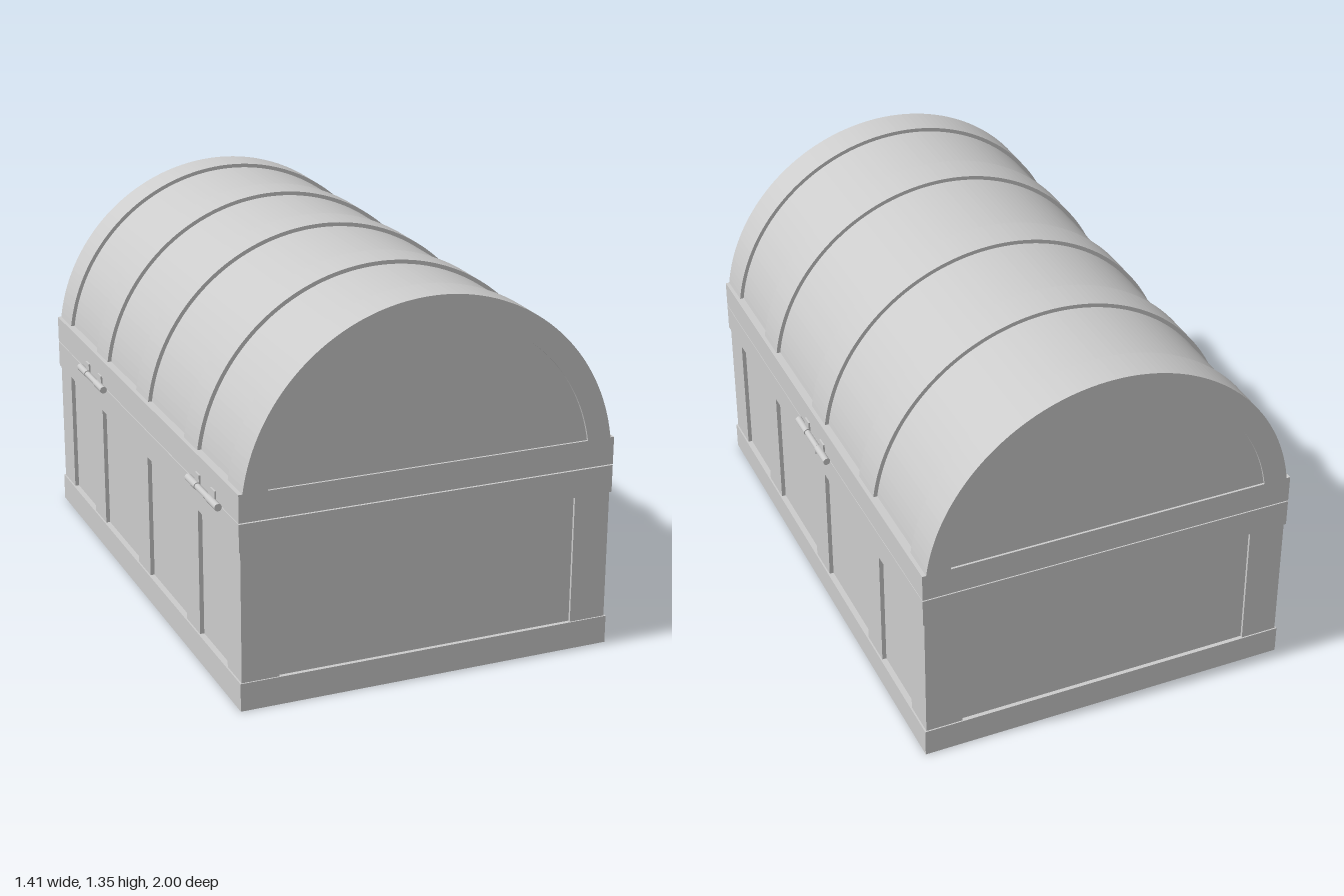
import * as THREE from 'three';

const mat = new THREE.MeshStandardMaterial({ color: 0xcccccc });
const ARC_Y = 0.675; // height of the centre of the lid's arch
const RIM_Y = 0.765; // height at which the arch meets the lid rim

function add(parent, name, geometry, x = 0, y = 0, z = 0) {
  const mesh = new THREE.Mesh(geometry, mat);
  mesh.name = name;
  mesh.position.set(x, y, z);
  parent.add(mesh);
  return mesh;
}

function box(parent, name, x0, x1, y0, y1, z0, z1) {
  return add(parent, name, new THREE.BoxGeometry(x1 - x0, y1 - y0, z1 - z0),
    (x0 + x1) / 2, (y0 + y1) / 2, (z0 + z1) / 2);
}

// Rectangular ring lying flat, with half sizes hx and hz
function ring(parent, name, hx, hz, wall, y0, y1) {
  const rect = (Type, a, b) => new Type([[-a, -b], [a, -b], [a, b], [-a, b]].map(p => new THREE.Vector2(...p)));
  const shape = rect(THREE.Shape, hx, hz);
  shape.holes.push(rect(THREE.Path, hx - wall, hz - wall));
  const geo = new THREE.ExtrudeGeometry(shape, { depth: y1 - y0, bevelEnabled: false });
  geo.rotateX(-Math.PI / 2);
  return add(parent, name, geo, 0, y0, 0);
}

// Arch cut off level with the rim; inner = 0 gives a filled half-round panel
function arch(parent, name, outer, inner, z0, z1) {
  const shape = new THREE.Shape();
  const a = Math.asin((RIM_Y - ARC_Y) / outer);
  shape.absarc(0, 0, outer, a, Math.PI - a, false);
  if (inner) {
    const b = Math.asin((RIM_Y - ARC_Y) / inner);
    shape.absarc(0, 0, inner, Math.PI - b, b, true);
  }
  shape.closePath();
  const geo = new THREE.ExtrudeGeometry(shape, { depth: z1 - z0, bevelEnabled: false, curveSegments: 44 });
  return add(parent, name, geo, 0, ARC_Y, z0);
}

// Pin, knuckles and two leaves, built for the +x side
function hinge(parent, name, z, side, hollow) {
  const g = new THREE.Group();
  g.name = name;
  for (const [c, len] of [[-0.1, 0.09], [0, 0.104], [0.1, 0.09]]) {
    const r = c === 0 ? 0.011 : 0.013;
    const geo = new THREE.CylinderGeometry(r, r, len, 14);
    geo.rotateX(Math.PI / 2);
    add(g, 'knuckle', geo, 0.69, 0.665, c);
  }
  for (const s of [-1, 1]) {
    box(g, 'upperLeaf', 0.676, 0.684, 0.665, 0.702, s * 0.075 - 0.02, s * 0.075 + 0.02);
  }
  const x = hollow ? 0.69 : 0.676; // the clasp's tongue hangs free of the body
  box(g, 'lowerLeaf', x, x + 0.008, 0.64, 0.665, -0.05, 0.05);
  g.position.z = z;
  if (side < 0) g.rotation.y = Math.PI;
  parent.add(g);
}

export function createModel() {
  const model = new THREE.Group();
  model.name = 'chest';

  // Body: floor, recessed walls, rails and posts
  const body = new THREE.Group();
  body.name = 'body';
  model.add(body);
  box(body, 'floor', -0.63, 0.63, 0.004, 0.08, -0.95, 0.95);
  ring(body, 'wallPanels', 0.657, 0.985, 0.05, 0.05, 0.62);
  ring(body, 'bottomRail', 0.678, 1, 0.07, 0, 0.1);
  ring(body, 'topRail', 0.678, 1, 0.07, 0.565, 0.663);
  for (const sx of [-1, 1]) {
    for (const sz of [-1, 1]) {
      const post = box(body, 'cornerPost', 0.54, 0.672, 0.09, 0.575, 0.865, 0.995);
      post.position.x *= sx;
      post.position.z *= sz;
    }
    for (const z of [-0.525, 0.003, 0.53]) {
      const post = box(body, 'sidePost', 0.62, 0.672, 0.09, 0.575, z - 0.066, z + 0.066);
      post.position.x *= sx;
    }
  }

  // Lid: rim, barrel shell, straps and end panels
  const lid = new THREE.Group();
  lid.name = 'lid';
  model.add(lid);
  ring(lid, 'lidRim', 0.678, 1, 0.1, 0.667, RIM_Y);
  arch(lid, 'barrel', 0.656, 0.6, -0.98, 0.98);
  for (const [z0, z1] of [[-1, -0.867], [-0.535, -0.402], [-0.067, 0.067], [0.445, 0.578], [0.867, 1]]) {
    arch(lid, 'strap', 0.67, 0.585, z0, z1);
  }
  arch(lid, 'backEndPanel', 0.586, 0, -0.992, -0.95);
  arch(lid, 'frontEndPanel', 0.586, 0, 0.95, 0.992);

  // Hardware: clasp on one long side, two hinges on the other
  hinge(model, 'clasp', 0, 1, true);
  hinge(model, 'backHinge', -0.525, -1, false);
  hinge(model, 'frontHinge', 0.7, -1, false);
  return model;
}
